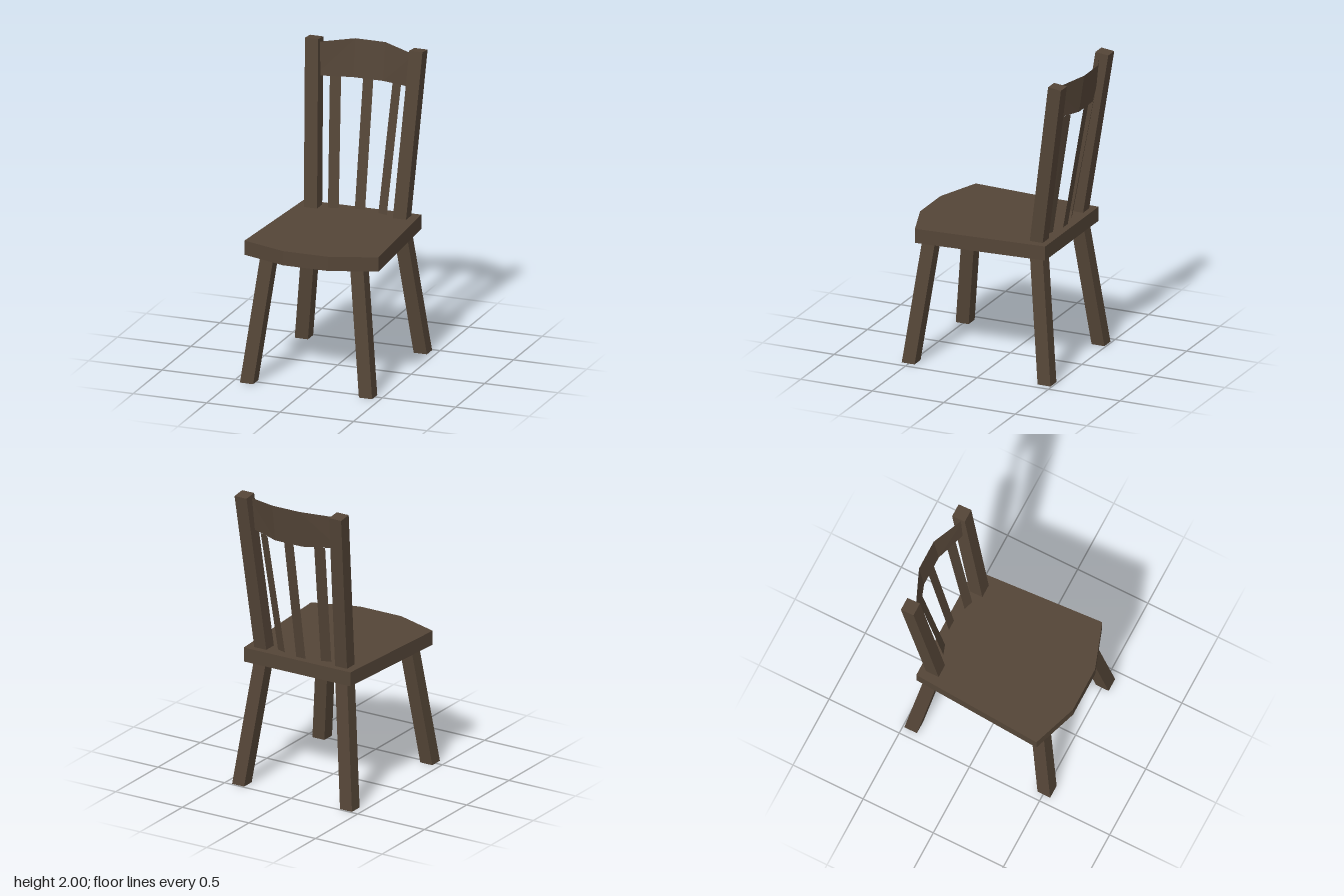
import * as THREE from 'three';

const darkWood = new THREE.MeshStandardMaterial({ color: 0x544537, flatShading: true, side: THREE.DoubleSide });
darkWood.name = 'darkWood';

const BAR = 0.09; // square section of legs and posts

function addMesh(parent, name, geometry) {
  const mesh = new THREE.Mesh(geometry, darkWood);
  mesh.name = name;
  parent.add(mesh);
}

// Square bar sheared between two centres [x, y, z]; tilt lowers the back of its top
function slantedBar(from, to, tilt = 0) {
  const geometry = new THREE.BoxGeometry(BAR, 1, BAR);
  const p = geometry.attributes.position;
  for (let i = 0; i < p.count; i++) {
    const top = p.getY(i) > 0;
    const [x, y, z] = top ? to : from;
    const drop = top && p.getZ(i) < 0 ? tilt : 0;
    p.setXYZ(i, p.getX(i) + x, y - drop, p.getZ(i) + z);
  }
  geometry.computeVertexNormals();
  return geometry;
}

// Thin sheet of flat panels between a lower and an upper line of points
function sheet(lower, upper) {
  const points = [];
  for (let i = 0; i < lower.length - 1; i++) {
    points.push(...lower[i], ...lower[i + 1], ...upper[i + 1]);
    points.push(...lower[i], ...upper[i + 1], ...upper[i]);
  }
  const geometry = new THREE.BufferGeometry();
  geometry.setAttribute('position', new THREE.Float32BufferAttribute(points, 3));
  geometry.computeVertexNormals();
  return geometry;
}

export function createModel() {
  const chair = new THREE.Group();
  chair.name = 'chair';

  // Seat: tapers to the back, with a faceted bow at the front
  const outline = [[-0.4, -0.43], [0.4, -0.43], [0.456, 0.455], [0.153, 0.56], [-0.153, 0.56], [-0.456, 0.455]];
  const seat = new THREE.ExtrudeGeometry(
    new THREE.Shape(outline.map(([x, z]) => new THREE.Vector2(x, z))),
    { depth: 0.095, bevelEnabled: false }
  );
  seat.rotateX(Math.PI / 2).translate(0, 0.92, 0);
  addMesh(chair, 'seat', seat);

  // Splayed legs and leaning back posts
  for (const [side, s] of [['left', 1], ['right', -1]]) {
    addMesh(chair, `${side}FrontLeg`, slantedBar([s * 0.405, 0, 0.505], [s * 0.306, 0.826, 0.405]));
    addMesh(chair, `${side}BackLeg`, slantedBar([s * 0.405, 0, -0.445], [s * 0.306, 0.826, -0.345]));
    addMesh(chair, `${side}BackPost`, slantedBar([s * 0.303, 0.919, -0.343], [s * 0.355, 2, -0.495], 0.01));

    // Outer slats, turned along the curve of the rail
    addMesh(chair, `${side}Slat`, sheet(
      [[s * 0.2, 0.919, -0.34], [s * 0.135, 0.919, -0.361]],
      [[s * 0.242, 1.753, -0.48], [s * 0.175, 1.75, -0.504]]
    ));
  }

  addMesh(chair, 'middleSlat', sheet(
    [[-0.035, 0.919, -0.385], [0.035, 0.919, -0.385]],
    [[-0.035, 1.748, -0.528], [0.035, 1.748, -0.528]]
  ));

  // Faceted top rail, its ends buried in the posts
  addMesh(chair, 'topRail', sheet(
    [[-0.33, 1.757, -0.448], [-0.102, 1.747, -0.528], [0.102, 1.747, -0.528], [0.33, 1.757, -0.448]],
    [[-0.34, 1.972, -0.465], [-0.102, 1.996, -0.564], [0.102, 1.996, -0.564], [0.34, 1.972, -0.465]]
  ));

  return chair;
}
